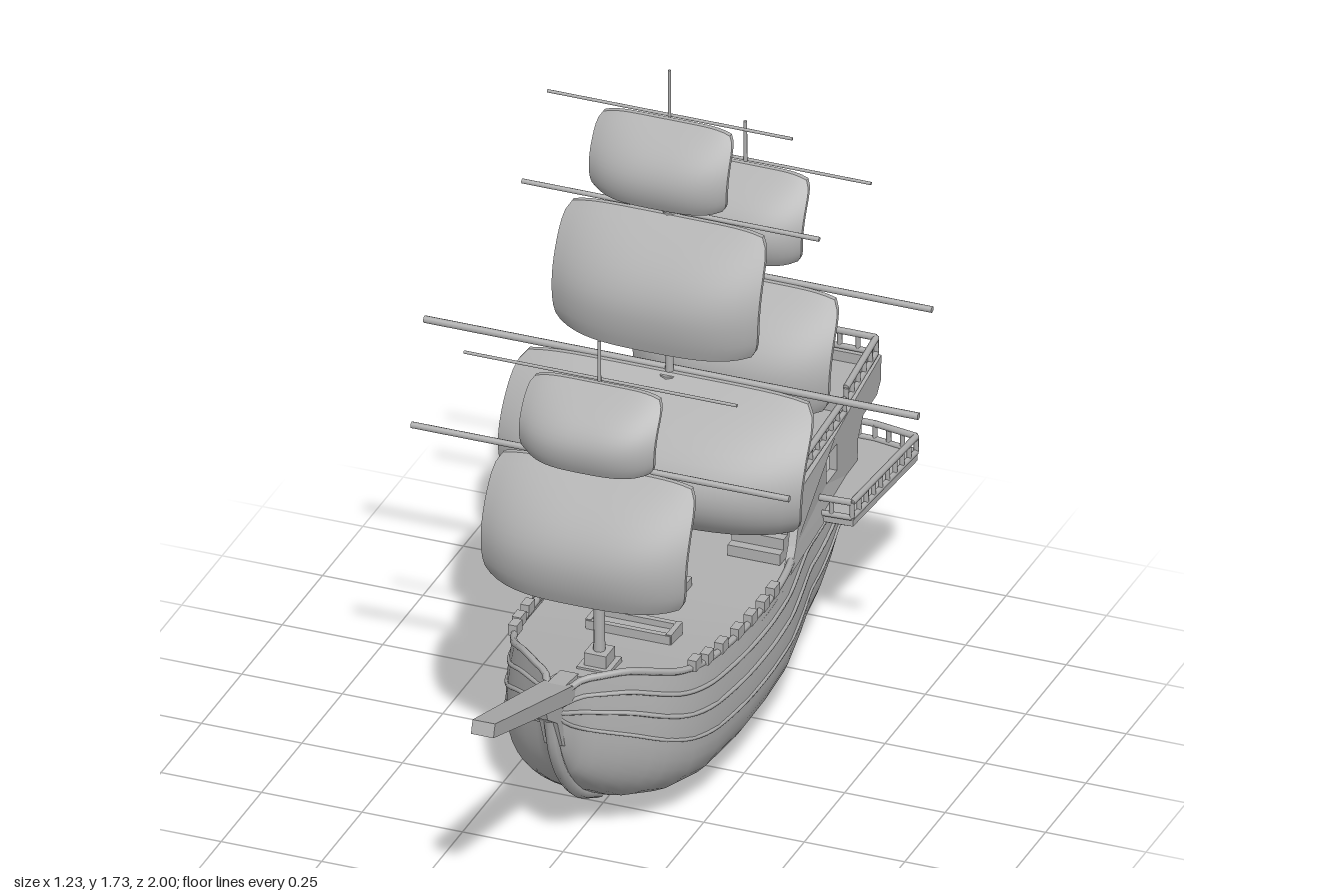
import * as THREE from 'three';
import { toCreasedNormals } from 'three/addons/utils/BufferGeometryUtils.js';

const grey = new THREE.MeshStandardMaterial({ color: 0xb0b0b0, side: THREE.DoubleSide });
grey.name = 'plain grey';
const V = (x, y, z) => new THREE.Vector3(x, y, z);

// Hull stations, bow to stern: z, keel y, gunwale y, widest half width, gunwale half width
const stations = [
  [0.575, 0.38, 0.43, 0.012, 0.01], [0.55, 0.3, 0.45, 0.025, 0.02], [0.5, 0.215, 0.465, 0.05, 0.04],
  [0.46, 0.17, 0.468, 0.095, 0.085], [0.41, 0.125, 0.465, 0.15, 0.135], [0.35, 0.085, 0.44, 0.2, 0.18],
  [0.27, 0.055, 0.408, 0.235, 0.217], [0.17, 0.035, 0.395, 0.255, 0.238], [0, 0.028, 0.383, 0.264, 0.248],
  [-0.15, 0.03, 0.377, 0.262, 0.248], [-0.28, 0.035, 0.378, 0.255, 0.24], [-0.4, 0.045, 0.385, 0.235, 0.217],
  [-0.5, 0.055, 0.385, 0.215, 0.2], [-0.6, 0.075, 0.38, 0.205, 0.193], [-0.68, 0.125, 0.375, 0.198, 0.19],
  [-0.75, 0.195, 0.37, 0.192, 0.187], [-0.82, 0.235, 0.37, 0.187, 0.185], [-0.86, 0.31, 0.37, 0.183, 0.183]];
const last = stations.length - 1;
const lerp = THREE.MathUtils.lerp;

function station(u) {
  const i = Math.min(Math.floor(u), last - 1), f = u - i;
  return stations[i].map((v, k) => lerp(v, stations[i + 1][k], f));
}

// Point on the hull: s = 0 at the keel, 1 at the gunwale
function hullPoint(u, s, side = 1, out = 0) {
  const [z, yb, yt, w, wt] = station(u), ym = lerp(yb, yt, 0.5);
  let x, y;
  if (s < 0.6) {
    const a = (s / 0.6) * Math.PI / 2;
    x = w * Math.sin(a) ** 0.75;
    y = yb + (ym - yb) * (1 - Math.max(0, Math.cos(a)) ** 0.85);
  } else {
    const t = (s - 0.6) / 0.4;
    x = lerp(w, wt, t * t);
    y = lerp(ym, yt, t);
  }
  return V(side * (x + out), y, z);
}

function grid(rows) {
  const n = rows[0].length, idx = [];
  for (let i = 0; i < rows.length - 1; i++)
    for (let j = 0; j < n - 1; j++) {
      const a = i * n + j, b = a + n;
      idx.push(a, b, a + 1, b, b + 1, a + 1);
    }
  const g = new THREE.BufferGeometry().setFromPoints(rows.flat());
  g.setIndex(idx);
  g.computeVertexNormals();
  return g;
}

export function createModel() {
  const root = new THREE.Group();
  root.name = 'sailingShip';
  const add = (name, g, parent = root) => {
    const m = new THREE.Mesh(g, grey);
    m.name = name;
    parent.add(m);
    return m;
  };
  const box = (name, w, h, d, x, y, z) => add(name, new THREE.BoxGeometry(w, h, d).translate(x, y, z));
  const rod = (name, a, b, r0, r1 = r0, sides = 8) => {
    const m = add(name, new THREE.CylinderGeometry(r1, r0, a.distanceTo(b), sides));
    m.position.copy(a).add(b).multiplyScalar(0.5);
    m.quaternion.setFromUnitVectors(V(0, 1, 0), b.clone().sub(a).normalize());
    return m;
  };
  const tube = (name, pts, r, sides = 6) =>
    add(name, new THREE.TubeGeometry(new THREE.CatmullRomCurve3(pts), pts.length * 3, r, sides));
  // Side-on outline of [z, y] points given a thickness across x
  const slab = (pts, t, hole) => {
    const shape = new THREE.Shape(pts.map(p => new THREE.Vector2(...p)));
    if (hole) shape.holes.push(new THREE.Path(hole.map(p => new THREE.Vector2(...p))));
    return new THREE.ExtrudeGeometry(shape, { depth: t, bevelEnabled: false })
      .translate(0, 0, -t / 2).rotateY(-Math.PI / 2);
  };
  const railing = (name, pts, h, gap = 0.045) => {
    for (let i = 0; i < pts.length - 1; i++) {
      const up = p => p.clone().setY(p.y + h), a = pts[i], b = pts[i + 1];
      rod(name + 'Rail', up(a), up(b), 0.008, 0.008, 6);
      rod(name + 'Sill', a, b, 0.007, 0.007, 6);
      const n = Math.max(1, Math.round(a.distanceTo(b) / gap));
      for (let k = 0; k <= n; k++) {
        const p = a.clone().lerp(b, k / n);
        rod(name + 'Post', p, up(p), 0.006, 0.006, 6);
      }
    }
  };

  // Hull shell, transom and deck
  const rows = [];
  for (let u = 0; u <= last; u += 0.5) {
    const row = [];
    for (let j = -16; j <= 16; j++) row.push(hullPoint(u, Math.abs(j) / 16, j < 0 ? -1 : 1));
    rows.push(row);
  }
  add('hull', grid(rows));
  const end = rows[rows.length - 1];
  add('transom', grid([end, end.map(p => V(0, Math.min(p.y + 0.02, 0.37), p.z - 0.01))]));
  const deck = stations.slice(1).map(([z, , , , wt]) => {
    const y = 0.353 + Math.max(0, z) * 0.1;
    return [V(wt + 0.004, y, z), V(-wt - 0.004, y, z)];
  });
  add('mainDeck', grid(deck));

  // Wales and gunwale following the planking
  for (const side of [-1, 1])
    for (const [s, r] of [[0.6, 0.005], [0.74, 0.006], [0.87, 0.006], [1, 0.009]]) {
      const pts = [];
      for (let u = 0.3; u <= last; u += 0.9) pts.push(hullPoint(u, s, side));
      tube(s === 1 ? 'gunwale' : 'wale', pts, r);
    }
  // Blocks on the bulwark
  for (const side of [-1, 1])
    for (const u of [6.3, 6.8, 7.3, 7.8, 8.3, 8.8, 9.3]) {
      const p = hullPoint(u, 1, side);
      box('bulwarkBlock', 0.022, 0.028, 0.035, p.x, p.y + 0.012, p.z);
    }

  // Keel with rudder, stem, beak and bowsprit
  add('keelAndRudder', slab([[0.3, 0.055], [0.1, 0.025], [-0.3, 0.018], [-0.64, 0.004], [-0.69, 0.014],
    [-0.705, 0.05], [-0.7, 0.15], [-0.72, 0.19], [-0.66, 0.13], [-0.6, 0.08], [-0.4, 0.06], [0.1, 0.04]], 0.032));
  tube('stem', [V(0, 0.4, 0.58), V(0, 0.3, 0.552), V(0, 0.21, 0.5), V(0, 0.12, 0.41), V(0, 0.05, 0.28)], 0.016, 8);
  add('beak', slab([[0.67, 0.485], [0.65, 0.435], [0.59, 0.395], [0.56, 0.32], [0.52, 0.3], [0.46, 0.46]], 0.045));
  const sprit = new THREE.BoxGeometry(0.056, 0.034, 0.58);
  const sp = sprit.attributes.position;
  for (let i = 0; i < sp.count; i++) if (sp.getZ(i) < 0) sp.setXY(i, sp.getX(i) * 1.35, sp.getY(i) * 1.3);
  const bowsprit = add('bowsprit', sprit);
  bowsprit.position.set(0, 0.502, 0.718);
  bowsprit.rotation.x = -0.3;

  // Aftercastle side walls with doorways, bulkheads and decks
  for (const side of [-1, 1]) {
    const wall = slab([[-0.31, 0.365], [-0.37, 0.405], [-0.45, 0.52], [-0.7, 0.53], [-0.83, 0.555], [-0.995, 0.58],
      [-0.99, 0.515], [-0.965, 0.49], [-0.875, 0.485], [-0.84, 0.44], [-0.835, 0.36]], 0.02,
      [[-0.63, 0.43], [-0.63, 0.5], [-0.7, 0.5], [-0.7, 0.43]]);
    const p = wall.attributes.position;
    for (let i = 0; i < p.count; i++) {
      const z = p.getZ(i);
      p.setX(i, p.getX(i) + side * (z > -0.5 ? lerp(0.195, 0.228, (z + 0.5) / 0.17) : lerp(0.182, 0.195, (z + 1) / 0.5)));
    }
    wall.computeVertexNormals();
    add('aftercastleWall', wall);
  }
  box('frontBulkhead', 0.38, 0.155, 0.015, 0, 0.437, -0.49);
  box('sternBulkhead', 0.37, 0.14, 0.015, 0, 0.43, -0.835);
  box('quarterDeck', 0.38, 0.015, 0.33, 0, 0.51, -0.65);
  box('poopDeck', 0.365, 0.045, 0.18, 0, 0.53, -0.9);
  box('sternBoard', 0.365, 0.075, 0.015, 0, 0.541, -0.986);

  // Upper railings
  for (const s of [-1, 1]) {
    railing('quarterRailing', [V(s * 0.197, 0.53, -0.46), V(s * 0.19, 0.545, -0.77)], 0.035);
    railing('poopRailing', [V(s * 0.19, 0.565, -0.78), V(s * 0.182, 0.588, -0.988)], 0.04);
  }
  railing('sternRailing', [V(-0.182, 0.588, -0.988), V(0.182, 0.588, -0.988)], 0.04);
  for (const s of [-1, 1]) railing('frontRailing', [V(s * 0.19, 0.525, -0.48), V(s * 0.06, 0.525, -0.48)], 0.035);

  // Stern gallery: tapered tray with railing
  const edge = [[0.19, -0.57], [0.29, -0.575], [0.312, -0.92], [0.2, -0.94]];
  const outline = [...edge, ...edge.map(([x, z]) => [-x, z]).reverse()];
  const tray = new THREE.ExtrudeGeometry(new THREE.Shape(outline.map(p => new THREE.Vector2(...p))),
    { depth: 0.04, bevelEnabled: false, steps: 2 }).rotateX(Math.PI / 2).translate(0, 0.385, 0);
  const tp = tray.attributes.position;
  for (let i = 0; i < tp.count; i++) if (tp.getY(i) < 0.35) {
    tp.setX(i, tp.getX(i) * 0.78);
    tp.setZ(i, lerp(-0.72, tp.getZ(i), 0.8));
  }
  add('sternGallery', toCreasedNormals(tray, 0.4));
  railing('galleryRailing', outline.map(([x, z]) => V(x * 0.99, 0.388, z)), 0.04, 0.04);

  // Stairs to the quarterdeck, hatches and centre frame
  for (const s of [-1, 1]) {
    for (let k = 0; k < 5; k++) box('stairStep', 0.13, 0.028 * (k + 1), 0.024, s * 0.13, 0.355 + 0.014 * (k + 1), -0.37 - 0.024 * k);
    box('stairSide', 0.012, 0.05, 0.16, s * 0.06, 0.5, -0.42).rotation.x = 0;
    box('hatchSide', 0.014, 0.035, 0.07, s * 0.1, 0.37, 0.06);
  }
  for (const z of [0.03, 0.09]) box('hatchEnd', 0.21, 0.03, 0.014, 0, 0.37, z);
  box('hatchCover', 0.19, 0.015, 0.06, 0, 0.362, 0.06);

  // Masts: z, base y, [top y, radius] sections, platform heights
  const masts = [
    ['fore', 0.275, 0.37, [[0.92, 0.013], [1.24, 0.005]], [0.83]],
    ['main', -0.16, 0.355, [[0.93, 0.018], [1.36, 0.009], [1.73, 0.004]], [0.835, 1.29]],
    ['mizzen', -0.63, 0.37, [[0.94, 0.013], [1.35, 0.005]], [0.86]]];
  for (const [name, z, base, parts, tops] of masts) {
    let y = base;
    parts.forEach(([top, r], i) => {
      rod(name + 'Mast', V(0, y, z), V(0, top, z), r * 1.1, r * 0.85, 10);
      if (i < parts.length - 1) rod(name + 'MastCap', V(0, top - 0.035, z), V(0, top, z), r + 0.005, r + 0.007, 10);
      y = top;
    });
    for (const t of tops) {
      box(name + 'Platform', 0.075, 0.006, 0.08, 0, t, z - 0.03);
      rod(name + 'Collar', V(0, t - 0.02, z), V(0, t + 0.015, z), 0.02, 0.02, 8);
    }
    const foot = name === 'mizzen' ? 0.515 : base - 0.01;
    box(name + 'MastStep', 0.08, 0.03, 0.08, 0, foot + 0.015, z);
    box(name + 'MastFoot', 0.055, 0.035, 0.055, 0, foot + 0.045, z);
  }

  // Sails and yards: mast z, top y, bottom y, half width, forward belly, lower edge set, yard half length, yard radius
  const sails = [
    ['foreCourse', 0.275, 0.915, 0.61, 0.25, 0.145, 0.125, 0.47, 0.008],
    ['foreTopsail', 0.275, 1.135, 0.945, 0.165, 0.11, 0.095, 0.34, 0.004],
    ['mainCourse', -0.165, 0.935, 0.62, 0.37, 0.195, 0.15, 0.615, 0.009],
    ['mainTopsail', -0.16, 1.355, 1.05, 0.252, 0.13, 0.115, 0.37, 0.006],
    ['mainTopgallant', -0.155, 1.61, 1.41, 0.168, 0.092, 0.075, 0.305, 0.004],
    ['mizzenCourse', -0.635, 0.94, 0.66, 0.24, 0.138, 0.125, 0.46, 0.008],
    ['mizzenTopsail', -0.63, 1.245, 1.035, 0.168, 0.11, 0.09, 0.31, 0.004]];
  for (const [name, z, top, low, w, belly, foot, yard, r] of sails) {
    const g = new THREE.BoxGeometry(2, 1, 0.012, 20, 14, 1), p = g.attributes.position;
    for (let i = 0; i < p.count; i++) {
      const a = p.getX(i), t = 0.5 - p.getY(i), e = 2 * t - 1;
      // the cloth swells to 70% of its height and its sides hang back
      const out = t < 0.7 ? belly * Math.sin((t / 0.7) * Math.PI / 2) : lerp(belly, foot, ((t - 0.7) / 0.3) ** 2);
      const side = Math.abs(a) ** 3;
      p.setXYZ(i, a * w * (1 - 0.06 * Math.abs(e) ** 8 + 0.02 * (1 - e * e)),
        lerp(top, low, t) + 0.012 * e * side * side,
        z + 0.008 + out * (1 - 0.4 * side) + p.getZ(i));
    }
    g.computeVertexNormals();
    add(name, g);
    rod(name + 'Yard', V(-yard, top, z - 0.008), V(yard, top, z - 0.008), r, r, 8);
  }
  return root;
}
